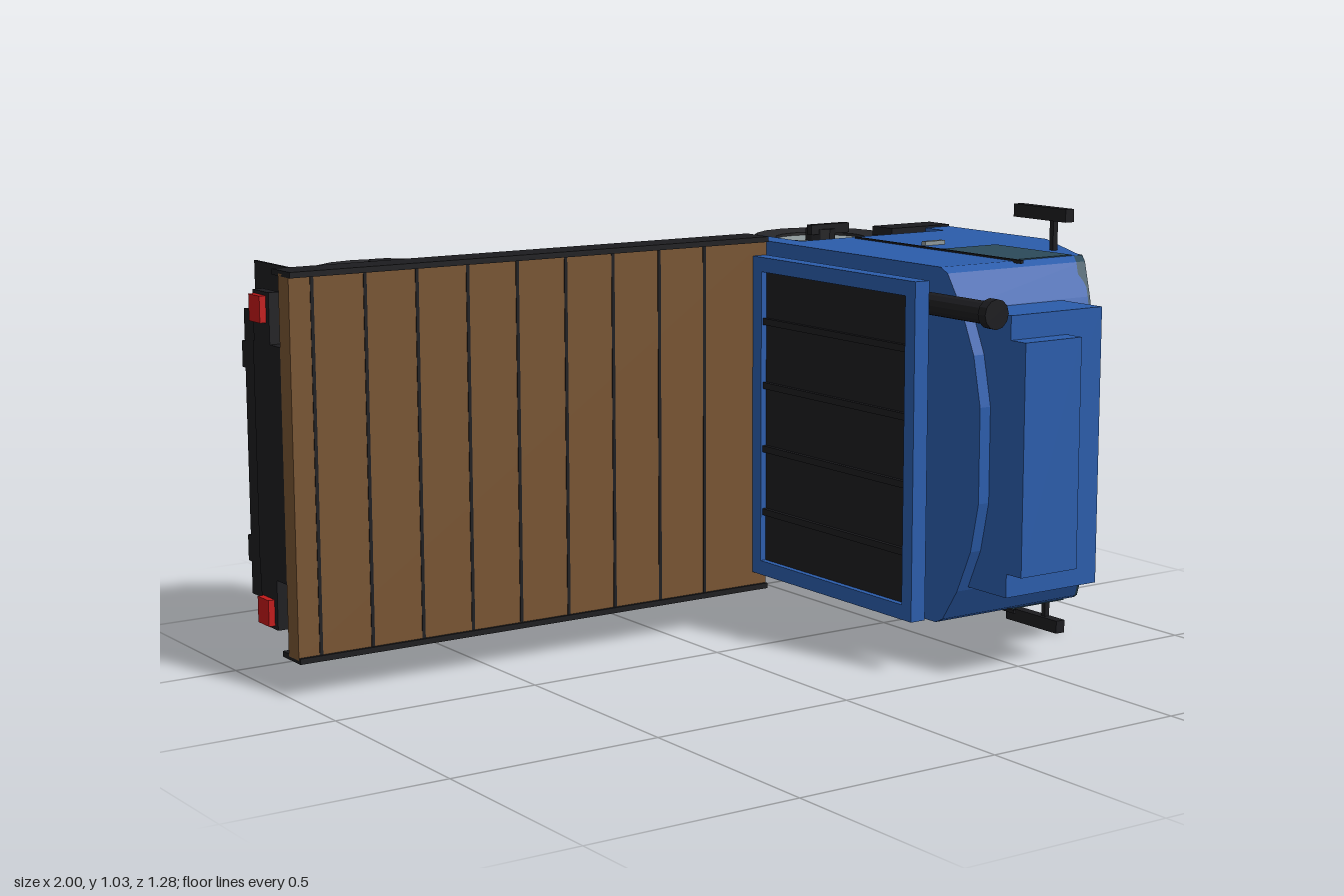
import * as THREE from 'three';

const MID = 0.5175; // the truck lies on its side: forward = +x, its roof = +z, its width runs along y
const material = (color) => new THREE.MeshStandardMaterial({ color, flatShading: true });
const blue = material(0x2b5caa), black = material(0x1c1c1f), glass = material(0x2c4a5a);
const tyreMat = material(0x262629), silver = material(0x8f999b), brown = material(0x775331);
const yellow = material(0xd8be48), orange = material(0xc47a2a), red = material(0xc01818);
const white = material(0xc8c6bc), slatMat = material(0x4a5a62);

export function createModel() {
  const truck = new THREE.Group();
  truck.name = 'flatbedTruck';

  const add = (name, geometry, mat) => {
    const mesh = new THREE.Mesh(geometry, mat);
    mesh.name = name;
    truck.add(mesh);
    return mesh;
  };
  // Box given by its limits on each axis
  const box = (name, mat, x0, x1, y0, y1, z0, z1) => {
    const mesh = add(name, new THREE.BoxGeometry(x1 - x0, y1 - y0, z1 - z0), mat);
    mesh.position.set((x0 + x1) / 2, (y0 + y1) / 2, (z0 + z1) / 2);
    return mesh;
  };
  // The same box on both sides of the truck, by distance from the middle
  const pair = (name, mat, x0, x1, d0, d1, z0, z1) => {
    box(name + 'Left', mat, x0, x1, MID + d0, MID + d1, z0, z1);
    box(name + 'Right', mat, x0, x1, MID - d1, MID - d0, z0, z1);
  };
  const cylinder = (name, mat, r, length, x, y, z, sides = 12) => {
    const mesh = add(name, new THREE.CylinderGeometry(r, r, length, sides), mat);
    mesh.position.set(x, y, z);
    return mesh;
  };

  // ---- Cab ----
  const slope = (z) => 0.943 - (z - 0.07) * 0.553;
  // Rounded cab section swept along x between two limits that depend on height
  const cabSection = (z0, halfBase, back, front) => {
    const half = [[halfBase, z0], [0.412, 0.38], [0.4, 0.405], [0.325, 0.455], [0.225, 0.5], [0.11, 0.525]];
    const outline = [...half, ...half.map(([y, z]) => [-y, z]).reverse()];
    const shape = new THREE.Shape(outline.map(([y, z]) => new THREE.Vector2(y, z)));
    const g = new THREE.ExtrudeGeometry(shape, { depth: 1, bevelEnabled: false });
    const p = g.attributes.position;
    for (let i = 0; i < p.count; i++) {
      const y = p.getX(i), z = p.getY(i);
      p.setXYZ(i, p.getZ(i) > 0.5 ? front(z) : back(z), MID + y, z);
    }
    g.computeVertexNormals();
    return g;
  };
  add('cabUpper', cabSection(0.07, 0.412, () => 0.35, slope), blue);
  add('windshield', cabSection(0.083, 0.392, (z) => slope(z) - 0.02, (z) => slope(z) + 0.007), glass);
  box('cabLower', blue, 0.35, 0.943, MID - 0.412, MID + 0.412, -0.235, 0.07);
  box('cabRearSkirt', blue, 0.35, 0.415, MID - 0.412, MID + 0.412, -0.39, -0.235);
  box('cabFrontSkirt', blue, 0.865, 0.943, MID - 0.412, MID + 0.412, -0.365, -0.235);
  box('roofFairing', blue, 0.38, 0.65, 0.2, 0.84, 0.44, 0.59);
  box('roofFairingTop', blue, 0.38, 0.545, 0.255, 0.785, 0.58, 0.64);
  pair('doorSeam', black, 0.562, 0.57, 0.408, 0.416, -0.21, 0.41);
  pair('sideWindow', glass, 0.57, 0.745, 0.405, 0.4145, 0.11, 0.38);
  pair('doorHandle', silver, 0.6, 0.66, 0.41, 0.422, 0.005, 0.02);
  pair('mirrorArm', black, 0.783, 0.797, 0.4, 0.49, 0.26, 0.273);
  pair('mirror', black, 0.774, 0.8, 0.483, 0.514, 0.14, 0.325);
  box('wiper', black, 0.824, 0.84, 0.305, 0.675, 0.274, 0.286);

  // Front face
  box('grille', black, 0.94, 0.95, 0.163, 0.873, -0.175, 0.008);
  pair('headlight', yellow, 0.94, 0.953, 0.212, 0.342, -0.162, -0.087);
  pair('turnSignal', orange, 0.94, 0.951, 0.357, 0.396, -0.03, 0.008);
  for (const z of [-0.036, -0.089, -0.142]) {
    box('grilleSlat', slatMat, 0.945, 0.957, 0.19, 0.85, z - 0.008, z + 0.008);
  }
  box('bumper', black, 0.943, 0.99, 0.11, 0.925, -0.455, -0.365);
  pair('bumperSide', black, 0.755, 0.943, 0.34, 0.417, -0.385, -0.305);
  box('numberPlate', white, 0.985, 1.0, 0.425, 0.61, -0.435, -0.385);

  // ---- Chassis ----
  pair('frameRail', black, -0.97, 0.92, 0.193, 0.253, -0.475, -0.385);
  pair('frontFrameTop', black, 0.28, 0.42, 0.193, 0.253, -0.385, -0.33);
  for (const x of [-0.9, -0.35, -0.1, 0.25, 0.45, 0.85]) {
    box('crossMember', black, x - 0.02, x + 0.02, MID - 0.2, MID + 0.2, -0.46, -0.39);
  }
  box('rearBar', black, -0.97, -0.935, 0.19, 0.845, -0.46, -0.4);
  box('subframe', black, -0.985, 0.28, MID - 0.265, MID + 0.265, -0.385, -0.25);
  box('batteryBox', black, -0.165, 0.07, 0.765, 0.89, -0.525, -0.385);
  cylinder('fuelTank', silver, 0.092, 0.32, -0.035, 0.2, -0.46, 16).rotation.z = Math.PI / 2;
  cylinder('driveShaft', black, 0.02, 1.1, -0.05, MID, -0.45).rotation.z = Math.PI / 2;
  pair('mudflap', black, -0.873, -0.866, 0.18, 0.415, -0.605, -0.25);
  pair('tailLightMount', black, -0.985, -0.96, 0.25, 0.38, -0.38, -0.3);
  pair('tailLight', red, -1.0, -0.984, 0.312, 0.372, -0.37, -0.315);

  // ---- Flatbed ----
  box('deck', brown, -0.985, 0.285, 0.09, 0.945, -0.25, -0.2);
  for (let i = 0; i < 9; i++) {
    const x = -0.93 + i * 0.129;
    box('plankGap', black, x - 0.004, x + 0.004, 0.092, 0.943, -0.21, -0.1985);
  }
  pair('deckEdge', black, -0.985, 0.285, 0.422, 0.435, -0.28, -0.192);

  // Headboard: blue frame around a dark barred panel
  pair('headboardPost', blue, 0.245, 0.285, 0.355, 0.39, -0.2, 0.42);
  for (const z of [-0.2, 0.385]) box('headboardBar', blue, 0.245, 0.285, 0.128, 0.907, z, z + 0.035);
  box('headboardPanel', black, 0.26, 0.272, 0.16, 0.875, -0.17, 0.39);
  for (let i = 1; i < 5; i++) {
    const y = 0.128 + i * 0.156;
    box('headboardSlat', black, 0.25, 0.28, y - 0.008, y + 0.008, -0.17, 0.39);
  }

  // Exhaust stack behind the cab
  cylinder('exhaustStack', black, 0.026, 0.98, 0.317, 0.85, 0.11).rotation.x = Math.PI / 2;
  cylinder('exhaustCap', black, 0.034, 0.025, 0.317, 0.85, 0.602).rotation.x = Math.PI / 2;

  // ---- Wheels ----
  const tyreProfile = [[0.115, 0.045], [0.165, 0.052], [0.185, 0.035], [0.185, -0.035], [0.165, -0.052], [0.115, -0.045], [0.115, 0.045]]
    .map(([r, y]) => new THREE.Vector2(r, y)).reverse();
  const tyre = new THREE.LatheGeometry(tyreProfile, 16);
  const wheel = (name, x, d, side) => {
    const g = new THREE.Group();
    g.name = name;
    const part = (partName, geo, mat, y) => {
      const m = new THREE.Mesh(geo, mat);
      m.name = partName;
      m.position.y = y;
      g.add(m);
    };
    part('tyre', tyre, tyreMat, 0);
    part('rim', new THREE.CylinderGeometry(0.117, 0.117, 0.02, 16), silver, 0.028);
    part('hub', new THREE.CylinderGeometry(0.04, 0.04, 0.055, 10), black, 0.04);
    g.position.set(x, MID + side * d, -0.455);
    if (side < 0) g.rotation.x = Math.PI;
    truck.add(g);
  };
  for (const side of [1, -1]) {
    wheel('frontWheel', 0.64, 0.345, side);
    wheel('rearOuterWheel', -0.615, 0.345, side);
    wheel('rearInnerWheel', -0.615, 0.237, side);
  }
  cylinder('frontAxle', black, 0.035, 0.68, 0.64, MID, -0.455);
  cylinder('rearAxle', black, 0.045, 0.66, -0.615, MID, -0.455);
  cylinder('differential', black, 0.085, 0.12, -0.615, MID, -0.455);
  pair('cabStep', black, 0.59, 0.71, 0.4, 0.425, -0.446, -0.426);

  return truck;
}
